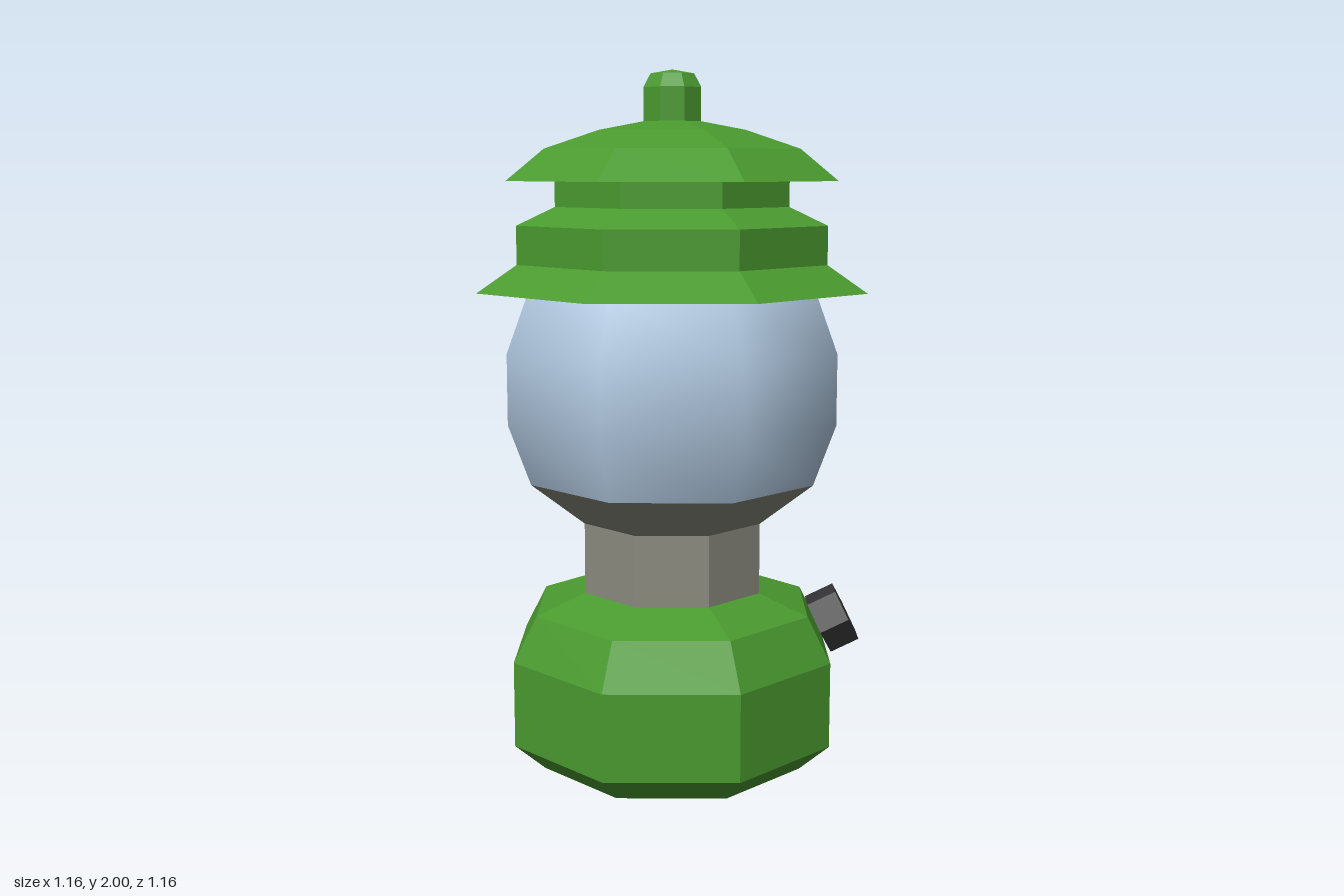
import * as THREE from 'three';

const SIDES = 8;

export function createModel() {
  const paint = (name, color) => {
    const m = new THREE.MeshStandardMaterial({ color });
    m.name = name;
    return m;
  };
  const green = paint('green enamel', 0x4a9a2f);
  const glass = paint('pale blue glass', 0xb2cae2);
  const metal = paint('grey metal', 0x8b8b80);
  const black = paint('black knob', 0x343436);

  const lantern = new THREE.Group();
  lantern.name = 'lantern';

  // Split the faces so each facet has its own flat normal
  const faceted = (geometry) => {
    const flat = geometry.toNonIndexed();
    flat.computeVertexNormals();
    return flat;
  };

  // Eight-sided turned part; profile is [radius, height] from bottom to top
  const turned = (name, material, profile, smooth = false) => {
    const points = profile.map(([r, y]) => new THREE.Vector2(r, y));
    const lathe = new THREE.LatheGeometry(points, SIDES);
    const mesh = new THREE.Mesh(smooth ? lathe : faceted(lathe), material);
    mesh.name = name;
    lantern.add(mesh);
    return mesh;
  };

  // Fuel tank
  turned('base', green, [
    [0, 0], [0.4, 0], [0.49, 0.08], [0.49, 0.33], [0.42, 0.46], [0.27, 0.515], [0, 0.515],
  ]);

  // Neck and flared cup holding the globe
  turned('collar', metal, [
    [0.272, 0.51], [0.272, 0.72], [0.43, 0.845], [0, 0.845],
  ]);

  // Smooth-shaded globe
  turned('globe', glass, [
    [0.43, 0.845], [0.495, 1.02], [0.495, 1.22], [0.43, 1.39], [0.36, 1.46],
  ], true);

  // Lower hood: flared brim, band and sloped shoulder
  turned('lowerHood', green, [
    [0.4, 1.4], [0.578, 1.39], [0.462, 1.465], [0.462, 1.572], [0.35, 1.622],
  ]);

  // Recessed vent between the hoods
  turned('vent', green, [[0.35, 1.622], [0.35, 1.697]]);

  // Domed upper hood
  turned('upperHood', green, [
    [0.3, 1.7], [0.49, 1.693], [0.38, 1.78], [0.22, 1.832], [0.07, 1.86], [0, 1.86],
  ]);

  // Cap on top
  turned('finial', green, [
    [0.087, 1.85], [0.087, 1.95], [0.066, 1.988], [0, 2.0],
  ]);

  // Hexagonal knob, square to one of the sloped base facets
  const hex = new THREE.CylinderGeometry(0.092, 0.092, 0.09, 6);
  hex.rotateY(Math.PI / 6);
  hex.rotateX(Math.PI / 2);
  const knob = new THREE.Mesh(faceted(hex), black);
  knob.name = 'knob';
  const turn = Math.PI / 8;
  const tilt = 0.46;
  const normal = new THREE.Vector3(
    Math.cos(tilt) * Math.cos(turn), Math.sin(tilt), -Math.cos(tilt) * Math.sin(turn));
  knob.position.set(0.437, 0.412, -0.178);
  knob.lookAt(knob.position.clone().add(normal));
  lantern.add(knob);

  return lantern;
}
